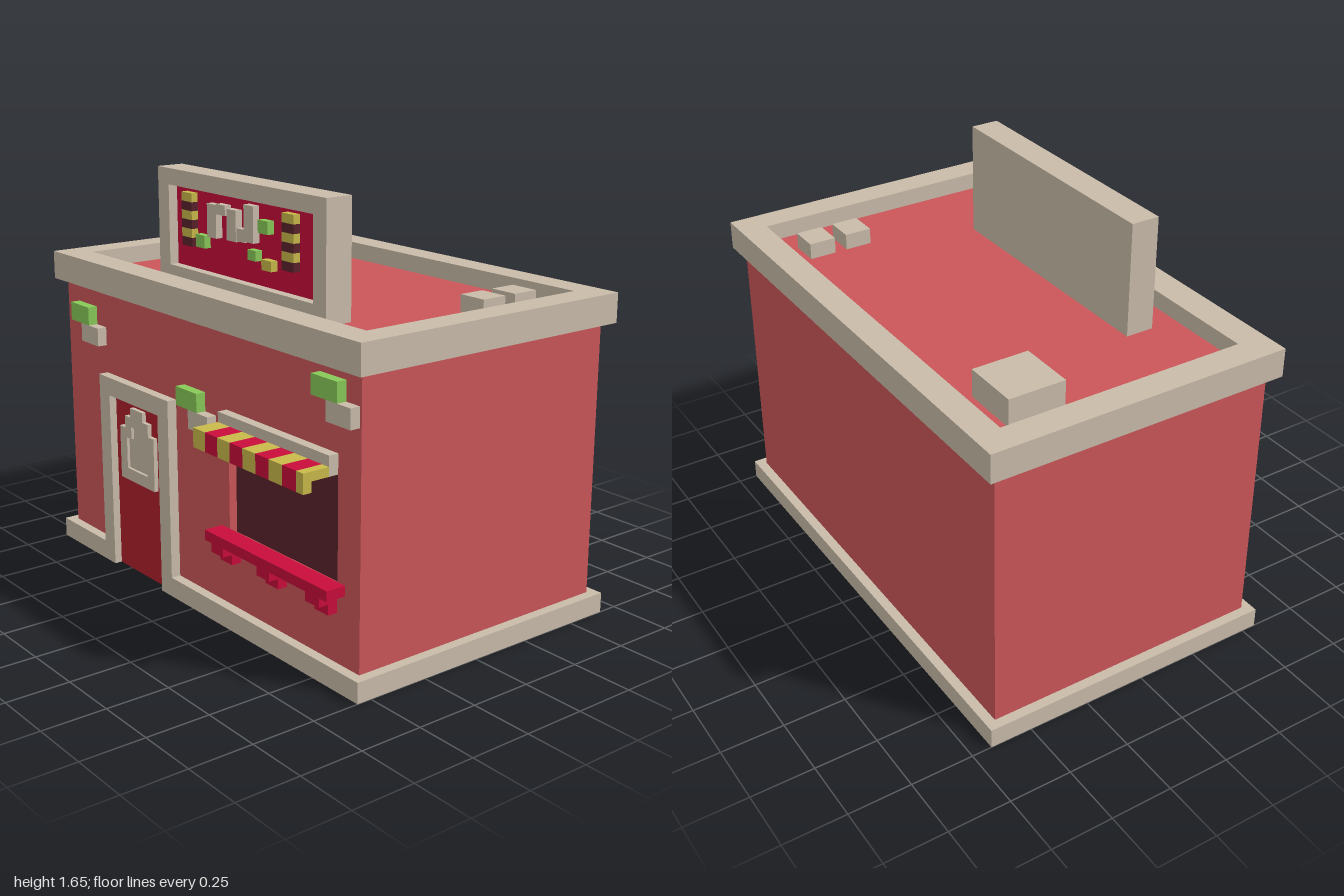
import * as THREE from 'three';

const mat = (name, color) => {
  const m = new THREE.MeshStandardMaterial({ color });
  m.name = name;
  return m;
};

export function createModel() {
  const root = new THREE.Group();
  root.name = 'cornerShop';
  const brick = mat('brick red', 0xcb5659);
  const stone = mat('stone tan', 0xc9bba9);
  const crimson = mat('crimson', 0xc80c3a);
  const yellow = mat('mustard yellow', 0xc8b94a);
  const green = mat('leaf green', 0x88c958);
  const doorRed = mat('door red', 0xad2029);
  const glass = mat('dark window', 0x58222b);

  const group = (name) => {
    const g = new THREE.Group();
    g.name = name;
    root.add(g);
    return g;
  };
  // Box given by its limits on each axis
  const box = (parent, name, m, [x0, x1], [y0, y1], [z0, z1]) => {
    const mesh = new THREE.Mesh(new THREE.BoxGeometry(x1 - x0, y1 - y0, z1 - z0), m);
    mesh.position.set((x0 + x1) / 2, (y0 + y1) / 2, (z0 + z1) / 2);
    mesh.name = name;
    parent.add(mesh);
    return mesh;
  };
  const FACE = -0.52, OUT = -0.56; // shop wall plane and its trim plane
  const trim = [OUT, FACE];

  // Walls, with a window opening in the shop side
  const walls = group('walls');
  box(walls, 'wallBody', brick, [-0.48, 0.63], [0, 1.2], [-0.96, 0.96]);
  const skin = [FACE, -0.48];
  box(walls, 'wallBelowWindow', brick, skin, [0, 0.365], [-0.96, 0.96]);
  box(walls, 'wallAboveWindow', brick, skin, [0.79, 1.2], [-0.96, 0.96]);
  box(walls, 'wallBesideWindow', brick, skin, [0.365, 0.79], [-0.96, 0.2]);
  box(walls, 'wallCorner', brick, skin, [0.365, 0.79], [0.84, 0.96]);
  box(walls, 'windowPane', glass, [-0.487, -0.479], [0.365, 0.79], [0.2, 0.84]);

  // Plinth, open at the doorway
  const plinth = group('plinth');
  const low = [0, 0.08];
  box(plinth, 'plinthFront', stone, [OUT, 0.67], low, [0.96, 1]);
  box(plinth, 'plinthBack', stone, [OUT, 0.67], low, [-1, -0.96]);
  box(plinth, 'plinthLeft', stone, [0.63, 0.67], low, [-0.96, 0.96]);
  box(plinth, 'plinthShopA', stone, trim, low, [-0.96, -0.66]);
  box(plinth, 'plinthShopB', stone, trim, low, [-0.15, 0.96]);

  // Parapet ring
  const ring = new THREE.Shape();
  ring.moveTo(OUT, -1).lineTo(0.67, -1).lineTo(0.67, 1).lineTo(OUT, 1).closePath();
  const inner = new THREE.Path();
  inner.moveTo(-0.44, -0.885).lineTo(-0.44, 0.885).lineTo(0.56, 0.885).lineTo(0.56, -0.885).closePath();
  ring.holes.push(inner);
  const ringGeo = new THREE.ExtrudeGeometry(ring, { depth: 0.115, bevelEnabled: false });
  ringGeo.rotateX(-Math.PI / 2);
  const parapet = new THREE.Mesh(ringGeo, stone);
  parapet.position.y = 1.155;
  parapet.name = 'parapet';
  root.add(parapet);

  // Roof vents
  const vents = group('roofVents');
  box(vents, 'largeVent', stone, [0.25, 0.48], [1.19, 1.31], [-0.81, -0.58]);
  box(vents, 'smallVentA', stone, [0.21, 0.32], [1.19, 1.265], [0.65, 0.77]);
  box(vents, 'smallVentB', stone, [0.37, 0.48], [1.19, 1.265], [0.65, 0.77]);

  // Roof billboard: backing, frame and recessed panel
  const board = group('billboard');
  const rim = [-0.33, -0.285];
  box(board, 'boardBack', stone, [-0.285, -0.215], [1.19, 1.655], [-0.535, 0.535]);
  box(board, 'boardFrameTop', stone, rim, [1.59, 1.655], [-0.535, 0.535]);
  box(board, 'boardFrameBottom', stone, rim, [1.19, 1.27], [-0.535, 0.535]);
  for (const s of [-1, 1]) {
    const z = s * 0.4975;
    box(board, 'boardFrameSide', stone, rim, [1.27, 1.59], [z - 0.0375, z + 0.0375]);
  }
  box(board, 'boardPanel', crimson, [-0.291, -0.284], [1.27, 1.59], [-0.46, 0.46]);
  // Striped posts on the panel
  for (const z of [-0.35, 0.3]) {
    for (let i = 0; i < 6; i++) {
      const y = 1.36 + i * 0.035;
      box(board, 'stripedPost', i % 2 ? yellow : glass, [-0.32, -0.29], [y, y + 0.035], [z - 0.035, z + 0.035]);
    }
  }
  // Loose ornamental blocks: z, y, width, height, material
  [
    [-0.18, 1.48, 0.06, 0.13, stone], [-0.12, 1.53, 0.06, 0.04, stone],
    [-0.05, 1.48, 0.06, 0.12, stone], [0.01, 1.45, 0.05, 0.05, stone],
    [0.06, 1.5, 0.06, 0.14, stone], [0.15, 1.5, 0.06, 0.05, green],
    [-0.26, 1.39, 0.06, 0.05, green], [0.08, 1.385, 0.05, 0.04, green],
    [0.17, 1.36, 0.06, 0.04, yellow],
  ].forEach(([z, y, w, h, m]) =>
    box(board, 'ornamentBlock', m, [-0.32, -0.29], [y - h / 2, y + h / 2], [z - w / 2, z + w / 2]));

  // Door with stone surround
  const door = group('door');
  box(door, 'doorLeaf', doorRed, [-0.529, FACE], [0, 0.735], [-0.585, -0.225]);
  box(door, 'doorPostA', stone, trim, [0, 0.735], [-0.66, -0.585]);
  box(door, 'doorPostB', stone, trim, [0, 0.735], [-0.225, -0.15]);
  box(door, 'doorHeader', stone, trim, [0.735, 0.81], [-0.66, -0.15]);
  // Stepped arch light in the door, built as a mirrored outline
  const arch = [[0.125, 0.4], [0.125, 0.62], [0.085, 0.62], [0.085, 0.67], [0.045, 0.67], [0.045, 0.71]];
  const outline = (pts) => [...pts, ...pts.map(([z, y]) => [-z, y]).reverse()].map(([z, y]) => new THREE.Vector2(z, y));
  const archShape = new THREE.Shape(outline(arch));
  archShape.holes.push(new THREE.Path(outline([[0.075, 0.45], [0.075, 0.58], [0.04, 0.58], [0.04, 0.63]])));
  const archGeo = new THREE.ExtrudeGeometry(archShape, { depth: 0.02, bevelEnabled: false });
  archGeo.rotateY(-Math.PI / 2);
  const archMesh = new THREE.Mesh(archGeo, stone);
  archMesh.position.set(-0.527, 0, -0.405);
  archMesh.name = 'doorArch';
  door.add(archMesh);
  box(door, 'doorArchPanel', stone, [-0.535, -0.527], [0.44, 0.64], [-0.485, -0.325]);

  // Striped awning under a stone lintel
  const awning = group('awning');
  box(awning, 'lintel', stone, trim, [0.775, 0.85], [0.19, 0.84]);
  const step = 0.0765;
  for (let i = 0; i < 9; i++) {
    const z0 = 0.19 + i * step;
    const span = [z0, Math.min(z0 + step, 0.84)];
    const m = i % 2 ? crimson : yellow;
    box(awning, 'awningStripe', m, [-0.67, OUT], [0.775, 0.81], span);
    box(awning, 'awningLip', m, [-0.67, -0.635], [0.735, 0.775], span);
  }

  // Window counter on stepped brackets
  const counter = group('windowCounter');
  box(counter, 'counterTop', crimson, [-0.6, FACE], [0.345, 0.385], [0.15, 0.88]);
  for (const z of [0.23, 0.515, 0.8]) {
    const span = [z - 0.038, z + 0.038];
    box(counter, 'bracketUpper', crimson, [-0.6, FACE], [0.31, 0.345], span);
    box(counter, 'bracketLower', crimson, trim, [0.27, 0.31], span);
  }

  // Pairs of green and stone accent blocks on the shop wall
  const accents = group('wallAccents');
  for (const [z, y] of [[-0.87, 1.0], [-0.09, 0.81], [0.74, 1.04]]) {
    box(accents, 'greenBlock', green, trim, [y, y + 0.075], [z, z + 0.14]);
    box(accents, 'stoneBlock', stone, trim, [y - 0.075, y], [z + 0.08, z + 0.21]);
  }
  return root;
}
